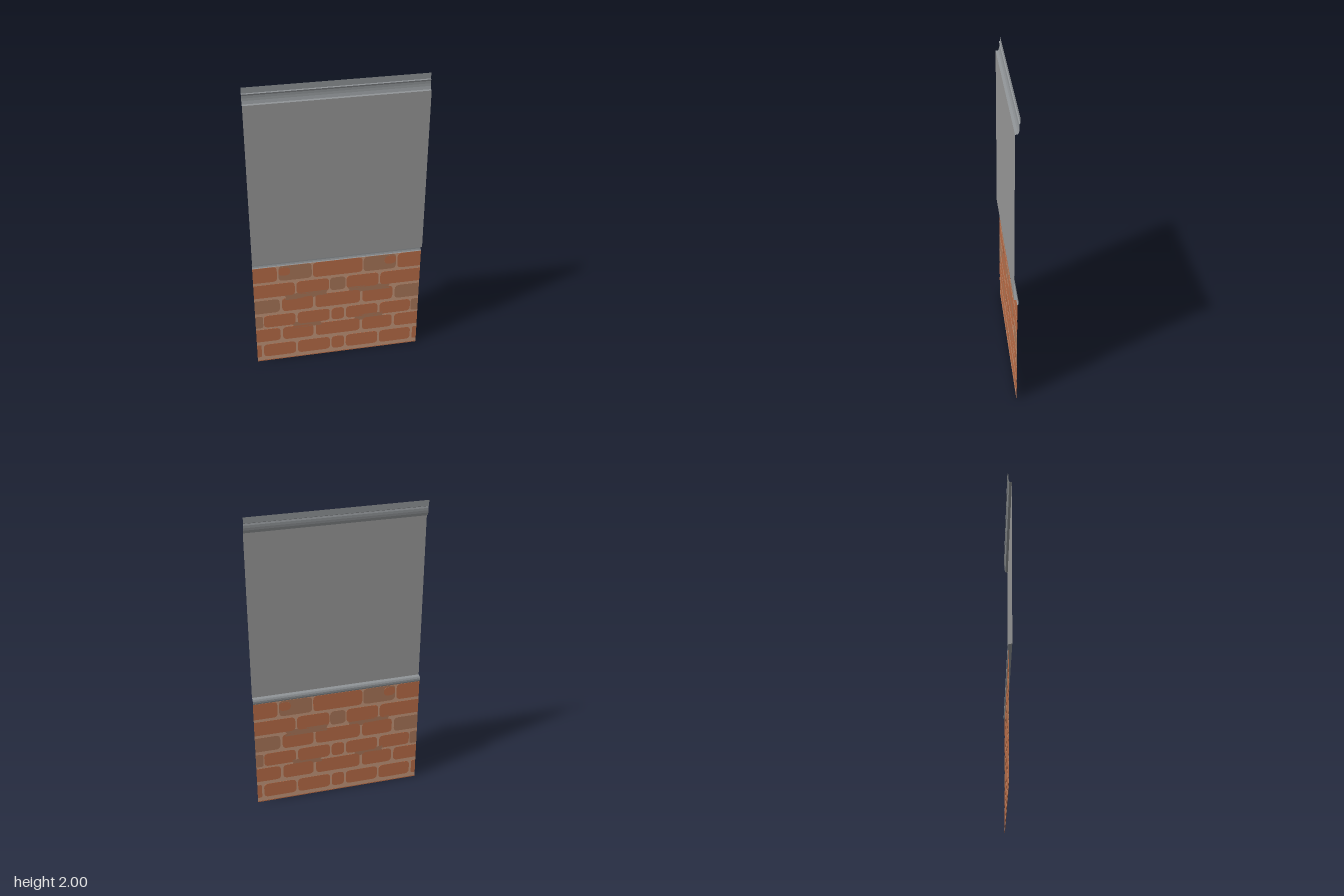
import * as THREE from 'three';

const HALF = 0.55;      // half the wall width
const BRICK_Z = -0.007; // plane of the brick wainscot

const mat = (name, color, side = THREE.FrontSide) => {
  const m = new THREE.MeshStandardMaterial({ color, side });
  m.name = name;
  return m;
};

// Open sheet: a [z, y] profile swept across the width, with flat facets
function sheet(name, profile, material) {
  const pos = [];
  for (let i = 0; i < profile.length - 1; i++) {
    const [z0, y0] = profile[i], [z1, y1] = profile[i + 1];
    pos.push(-HALF, y0, z0, -HALF, y1, z1, HALF, y1, z1);
    pos.push(-HALF, y0, z0, HALF, y1, z1, HALF, y0, z0);
  }
  const g = new THREE.BufferGeometry();
  g.setAttribute('position', new THREE.Float32BufferAttribute(pos, 3));
  g.computeVertexNormals();
  const mesh = new THREE.Mesh(g, material);
  mesh.name = name;
  return mesh;
}

// Thin brick face; a corner radius of 0 is used where it meets the wall's edge
function brickPlate(x0, x1, y0, y1, material, depth = 0.002) {
  const r = Math.min(0.03, (x1 - x0) * 0.4);
  const rl = x0 <= -HALF ? 0.001 : r, rr = x1 >= HALF ? 0.001 : r;
  const s = new THREE.Shape();
  s.moveTo(x0 + rl, y0);
  s.lineTo(x1 - rr, y0);
  s.quadraticCurveTo(x1, y0, x1, y0 + rr);
  s.lineTo(x1, y1 - rr);
  s.quadraticCurveTo(x1, y1, x1 - rr, y1);
  s.lineTo(x0 + rl, y1);
  s.quadraticCurveTo(x0, y1, x0, y1 - rl);
  s.lineTo(x0, y0 + rl);
  s.quadraticCurveTo(x0, y0, x0 + rl, y0);
  const g = new THREE.ExtrudeGeometry(s, { depth, bevelEnabled: false, curveSegments: 5 });
  g.translate(0, 0, BRICK_Z - depth / 2);
  const mesh = new THREE.Mesh(g, material);
  mesh.name = 'brick';
  return mesh;
}

export function createModel() {
  const panel = mat('panel grey', 0x979797, THREE.DoubleSide);
  const trim = mat('trim grey', 0x8f9396, THREE.DoubleSide);
  const mortar = mat('mortar', 0xc4967a, THREE.DoubleSide);
  const brick = mat('brick orange', 0xb86c47);
  const paleBrick = mat('pale brick', 0xa97658);

  const root = new THREE.Group();
  root.name = 'wallPanel';

  // Upper wall and its mouldings
  root.add(sheet('crownMoulding', [
    [-0.015, 2], [-0.015, 1.964], [-0.009, 1.96], [-0.012, 1.95], [-0.012, 1.935],
    [-0.010, 1.92], [-0.006, 1.908], [-0.004, 1.902], [0.012, 1.9],
  ], trim));
  root.add(sheet('upperPanel', [[0.012, 1.9], [0.012, 0.805]], panel));
  root.add(sheet('chairRail', [
    [0.012, 0.805], [-0.009, 0.802], [-0.012, 0.797], [-0.015, 0.79],
    [-0.015, 0.778], [-0.012, 0.768], [BRICK_Z, 0.765],
  ], trim));

  // Brick wainscot: mortar sheet with mirrored courses of bricks
  root.add(sheet('mortarSheet', [[BRICK_Z, 0.765], [BRICK_Z, 0]], mortar));
  const courses = [ // bottom, top, half width of centre brick, side bricks [x0, x1, pale]
    { y0: 0.035, y1: 0.138, mid: 0.043, side: [[0.055, 0.275], [0.287, 0.505], [0.52, 0.55]] },
    { y0: 0.165, y1: 0.268, mid: 0.15, side: [[0.167, 0.372], [0.388, 0.55]] },
    { y0: 0.283, y1: 0.38, mid: 0.043, side: [[0.055, 0.27], [0.285, 0.495], [0.5, 0.55, 1]] },
    { y0: 0.402, y1: 0.508, mid: 0.15, side: [[0.165, 0.37], [0.385, 0.55, 1]] },
    { y0: 0.528, y1: 0.63, mid: 0.052, midPale: true, side: [[0.058, 0.272], [0.283, 0.55]] },
    { y0: 0.65, y1: 0.764, mid: 0.163, side: [[0.17, 0.385, 1], [0.395, 0.55]] },
  ];
  const bricks = new THREE.Group();
  bricks.name = 'bricks';
  for (const { y0, y1, mid, midPale, side } of courses) {
    bricks.add(brickPlate(-mid, mid, y0, y1, midPale ? paleBrick : brick));
    for (const [x0, x1, pale] of side) {
      const m = pale ? paleBrick : brick;
      bricks.add(brickPlate(x0, x1, y0, y1, m), brickPlate(-x1, -x0, y0, y1, m));
    }
  }
  // Orange patches on the pale top bricks, and the pale ragged bands between courses
  for (const s of [-1, 1]) {
    const c = s * 0.347;
    bricks.add(brickPlate(c - 0.038, c + 0.038, 0.69, 0.752, brick, 0.003));
    const d = s * 0.21;
    bricks.add(brickPlate(d - 0.14, d + 0.14, 0.508, 0.522, paleBrick));
    bricks.add(brickPlate(d - 0.1, d + 0.1, 0.269, 0.282, paleBrick));
  }
  // Sliver of the next course at the floor
  bricks.add(brickPlate(-HALF, HALF, 0, 0.007, brick));
  root.add(bricks);
  return root;
}
